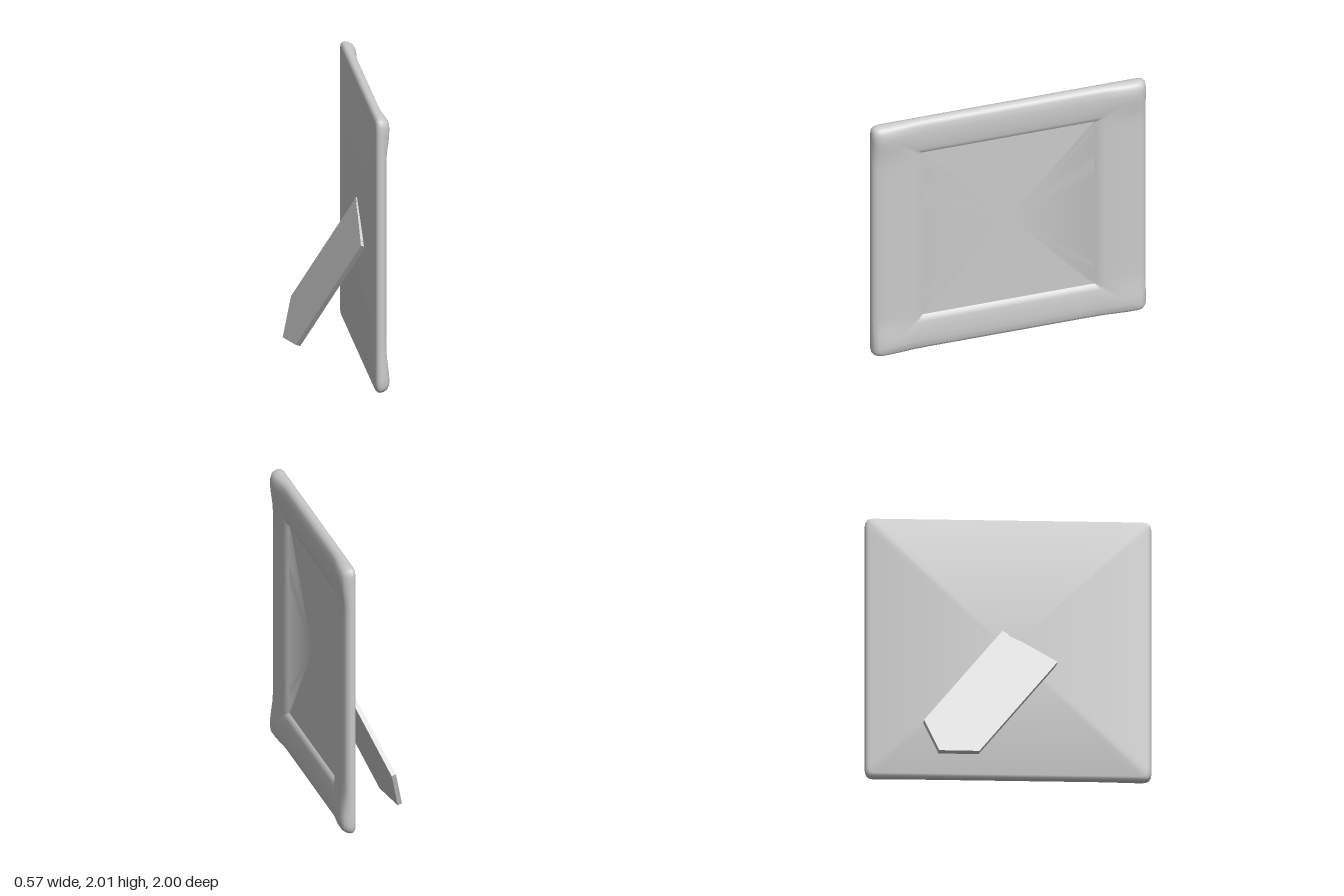
import * as THREE from 'three';
import { toCreasedNormals } from 'three/addons/utils/BufferGeometryUtils.js';

const material = new THREE.MeshStandardMaterial({ color: 0xcccccc });
const HALF_Z = 1, HALF_Y = 0.997, MID_Y = 1.003;

// Rings from the middle of the back, round the rim, to the middle of the front:
// [inset in z, inset in y, x, corner radius]
const RINGS = [
  [1, 0.997, 0.177, 0],
  [0.03, 0.03, 0.177, 0.04],
  [0.012, 0.012, 0.181, 0.05],
  [0.002, 0.002, 0.195, 0.05],
  [0, 0, 0.21, 0.05],
  [0.004, 0.004, 0.226, 0.05],
  [0.018, 0.016, 0.244, 0.05],
  [0.045, 0.04, 0.255, 0.04],
  [0.1, 0.09, 0.26, 0.02],
  [0.17, 0.14, 0.26, 0],
  [0.24, 0.19, 0.257, 0],
  [0.31, 0.245, 0.251, 0],
  [0.35, 0.275, 0.243, 0],
  [0.37, 0.287, 0.229, 0],
  [0.375, 0.29, 0.225, 0],
  [1, 0.997, 0.225, 0],
];

// Points round a unit square, counterclockwise, denser near the corners
function squareLoop(n) {
  const points = [];
  for (let side = 0; side < 4; side++) {
    for (let i = 0; i < n; i++) {
      const t = Math.sin((i / n - 0.5) * Math.PI);
      points.push([[1, t], [-t, 1], [-1, -t], [t, -1]][side]);
    }
  }
  return points;
}

function frameGeometry() {
  const loop = squareLoop(28), n = loop.length;
  const positions = [], indices = [];
  RINGS.forEach(([insetZ, insetY, x, r], k) => {
    const w = HALF_Z - insetZ, h = HALF_Y - insetY;
    for (const [u, v] of loop) {
      let a = u * w, b = v * h;
      // round the corner of the ring
      const ca = THREE.MathUtils.clamp(a, r - w, w - r);
      const cb = THREE.MathUtils.clamp(b, r - h, h - r);
      const d = Math.hypot(a - ca, b - cb);
      if (r > 0 && d > 0) {
        a = ca + (a - ca) * r / d;
        b = cb + (b - cb) * r / d;
      }
      // the front swells a little where two rails meet
      const swell = THREE.MathUtils.smoothstep(Math.abs(a), 0.63, 0.9)
        * THREE.MathUtils.smoothstep(Math.abs(b), 0.68, 0.9);
      const front = THREE.MathUtils.clamp((x - 0.21) / 0.045, 0, 1);
      positions.push(x + 0.021 * swell * front, MID_Y + b, -a);
    }
    if (k === 0) return;
    for (let j = 0; j < n; j++) {
      const p = (k - 1) * n + j, q = (k - 1) * n + (j + 1) % n;
      if (k > 1) indices.push(p, q, q + n);
      else indices.push(p, q + n, p + n);
      if (k > 1 && k < RINGS.length - 1) indices.push(p, q + n, p + n);
    }
  });
  const geometry = new THREE.BufferGeometry();
  geometry.setAttribute('position', new THREE.Float32BufferAttribute(positions, 3));
  geometry.setIndex(indices);
  return toCreasedNormals(geometry, 0.8);
}

// Pointed board, leaning diagonally away from the back of the frame
function legGeometry() {
  const shape = new THREE.Shape([
    [0, 0], [0.454, 0], [0.454, 1.106], [0.23, 1.288], [0, 1.106],
  ].map(([x, y]) => new THREE.Vector2(x, y)));
  const geometry = new THREE.ExtrudeGeometry(shape, { depth: 0.034, bevelEnabled: false });
  const across = new THREE.Vector3(-0.033, -0.529, 0.848).normalize();
  const down = new THREE.Vector3(-0.348, -0.778, -0.524);
  down.addScaledVector(across, -down.dot(across)).normalize();
  const inward = new THREE.Vector3().crossVectors(across, down);
  const matrix = new THREE.Matrix4().makeBasis(across, down, inward);
  matrix.setPosition(0.17, 1.138, -0.04);
  return geometry.applyMatrix4(matrix);
}

export function createModel() {
  const group = new THREE.Group();
  group.name = 'pictureFrame';
  const add = (name, geometry) => {
    const mesh = new THREE.Mesh(geometry, material);
    mesh.name = name;
    group.add(mesh);
    return mesh;
  };

  add('frame', frameGeometry());
  add('standLeg', legGeometry());

  // Thin hinge strip where the leg meets the back
  const hinge = add('hinge', new THREE.BoxGeometry(0.016, 0.03, 0.36));
  hinge.position.set(0.172, 1.0, 0.15);
  hinge.rotation.x = Math.atan2(0.529, 0.848);
  return group;
}
